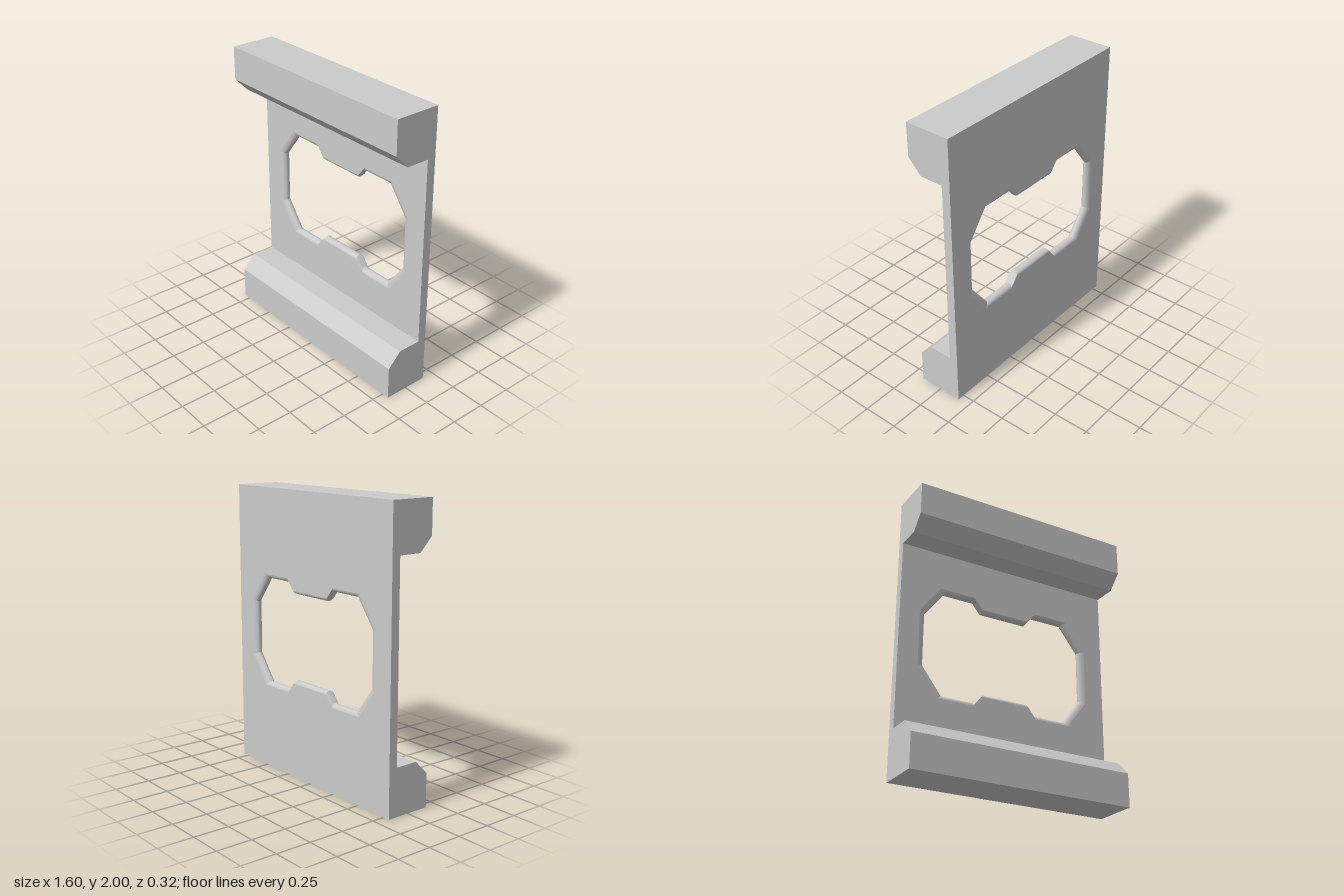
import * as THREE from 'three';
import { mergeGeometries } from 'three/addons/utils/BufferGeometryUtils.js';

const W = 0.8, H = 2, FRONT = 0.162, BACK = -0.162, WEB = -0.1, RAIL = 0.333;

// Grid skin through rows of equally many points, smooth inside the grid
function skin(rows) {
  const n = rows[0].length, index = [];
  for (let r = 0; r < rows.length - 1; r++) {
    for (let c = 0; c < n - 1; c++) {
      const a = r * n + c, b = a + 1, d = a + n, e = d + 1;
      index.push(a, b, e, a, e, d);
    }
  }
  const g = new THREE.BufferGeometry();
  g.setAttribute('position', new THREE.Float32BufferAttribute(rows.flat(2), 3));
  g.setIndex(index);
  g.computeVertexNormals();
  return g;
}

const shapeOf = pts => new THREE.Shape(pts.map(([x, y]) => new THREE.Vector2(x, y)));

function merge(parts) {
  return mergeGeometries(parts.map(p => {
    const g = p.toNonIndexed();
    g.deleteAttribute('uv');
    return g;
  }));
}

export function createModel() {
  const group = new THREE.Group();
  const material = new THREE.MeshStandardMaterial({ color: 0xcccccc });
  const add = (name, geometry) => {
    const mesh = new THREE.Mesh(geometry, material);
    mesh.name = name;
    group.add(mesh);
  };

  // C-shaped side profile as (z, y), counterclockwise
  const lower = [[FRONT, 0], [FRONT, 0.235], [0.066, RAIL], [WEB, RAIL]];
  const upper = lower.map(([z, y]) => [z, H - y]).reverse();
  const profile = [[BACK, 0], ...lower, ...upper, [BACK, H]];

  // End caps
  const rightEnd = new THREE.ShapeGeometry(shapeOf(profile)).rotateY(-Math.PI / 2).translate(-W, 0, 0);
  const leftEnd = new THREE.ShapeGeometry(shapeOf(profile.map(([z, y]) => [-z, y])))
    .rotateY(Math.PI / 2).translate(W, 0, 0);
  add('sideEnds', merge([rightEnd, leftEnd]));

  // Rail faces across the width; the web front and the back are pierced and made below
  const strips = [];
  profile.forEach(([z0, y0], i) => {
    const [z1, y1] = profile[(i + 1) % profile.length];
    const pierced = z0 === z1 && (z0 === WEB || z0 === BACK);
    if (!pierced) strips.push(skin([[[-W, y0, z0], [W, y0, z0]], [[-W, y1, z1], [W, y1, z1]]]));
  });
  add('rails', merge(strips));

  // Window outline about its centre: one quarter mirrored into four
  const q = [[0.655, 0.2], [0.503, 0.4], [0.242, 0.4], [0.181, 0.324]];
  const half = [...q, ...q.map(([x, y]) => [-x, y]).reverse()];
  const outline = [...half, ...half.map(([x, y]) => [-x, -y])];

  const panel = (y0, y1) => {
    const s = shapeOf([[-W, y0], [W, y0], [W, y1], [-W, y1]]);
    s.holes.push(new THREE.Path(outline.map(([x, y]) => new THREE.Vector2(x, y + 1))));
    return new THREE.ShapeGeometry(s);
  };
  add('webPanel', merge([
    panel(RAIL, H - RAIL).translate(0, 0, WEB),
    panel(0, H).rotateY(Math.PI).translate(0, 0, BACK),
  ]));

  // Rounded rim, narrowest at mid thickness
  const steps = 8, rim = [];
  outline.forEach((p, i) => {
    const next = outline[(i + 1) % outline.length], rows = [];
    for (let k = 0; k <= steps; k++) {
      const a = Math.PI * k / steps;
      const s = 1 - 0.068 * Math.sin(a);
      const z = (WEB + BACK) / 2 + (WEB - BACK) / 2 * Math.cos(a);
      rows.push([p, next].map(([x, y]) => [x * s, 1 + y * s, z]));
    }
    rim.push(skin(rows));
  });
  add('windowRim', merge(rim));

  return group;
}
